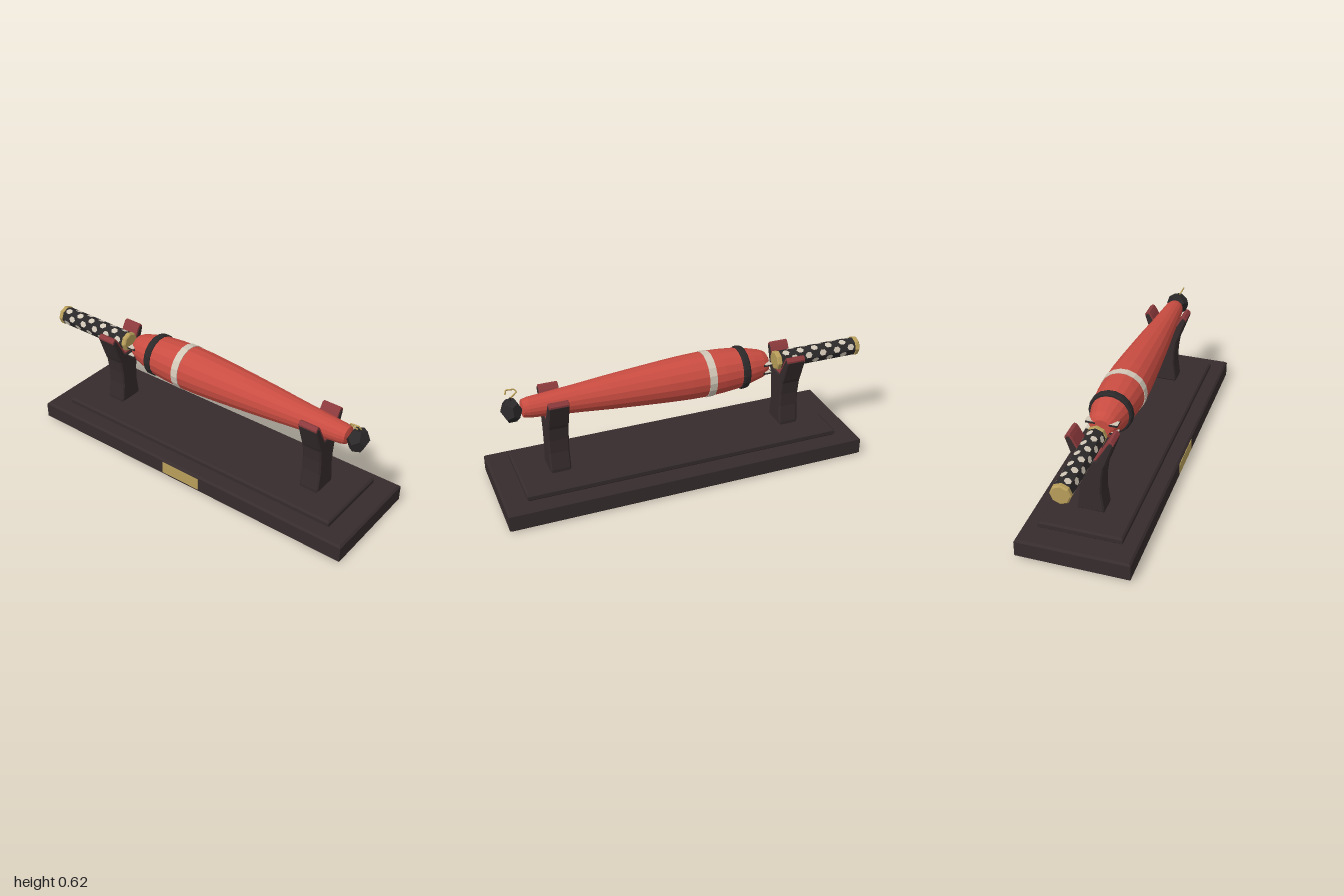
import * as THREE from 'three';

const mat = (name, color, extra = {}) =>
  Object.assign(new THREE.MeshStandardMaterial({ color, flatShading: true, ...extra }), { name });

export function createModel() {
  const root = new THREE.Group();
  root.name = 'displayStand';
  const wood = mat('dark wood', 0x362c2d);
  const black = mat('black', 0x2b2829);
  const red = mat('red lacquer', 0xc94c41);
  const maroon = mat('maroon padding', 0x8c3a3c);
  const cream = mat('cream', 0xd2c8b8, { side: THREE.DoubleSide });
  const gold = mat('gold', 0xb89e5a);

  const add = (name, geo, material, x = 0, y = 0, z = 0, parent = root) => {
    const m = new THREE.Mesh(geo, material);
    m.name = name;
    m.position.set(x, y, z);
    parent.add(m);
    return m;
  };

  // Polygon extruded to a total depth, with a chamfer kept inside that depth
  const chamfered = (points, depth, b) => {
    const shape = new THREE.Shape(points.map(p => new THREE.Vector2(...p)));
    const g = new THREE.ExtrudeGeometry(shape, {
      depth: depth - 2 * b, bevelThickness: b, bevelSize: b, bevelOffset: -b, bevelSegments: 1,
    });
    return g.translate(0, 0, b - depth / 2);
  };
  const slab = (w, h, d, b) => chamfered(
    [[-w / 2, -d / 2], [w / 2, -d / 2], [w / 2, d / 2], [-w / 2, d / 2]], h, b).rotateX(-Math.PI / 2);
  // Profile of [x, radius] pairs turned around the x axis
  const turned = (profile, sides) => new THREE.LatheGeometry(
    profile.map(([x, r]) => new THREE.Vector2(r, x)), sides).rotateZ(-Math.PI / 2);

  // Plinth and plaque
  add('lowerBase', slab(1.9, 0.1, 0.57, 0.01), wood, 0.045, 0.05, 0);
  add('upperBase', slab(1.67, 0.038, 0.42, 0.009), wood, 0.047, 0.119, 0);
  add('plaque', new THREE.BoxGeometry(0.23, 0.066, 0.008), gold, 0.045, 0.052, 0.284);

  // Forked uprights: outline as [z, y] for one half, then mirrored
  const half = [[0.066, 0.138], [0.067, 0.155], [0.055, 0.245], [0.057, 0.32], [0.067, 0.39],
    [0.076, 0.41], [0.118, 0.53], [0.112, 0.546], [0.096, 0.55], [0.082, 0.53], [0.032, 0.436]];
  const mirror = h => [...h, ...h.map(([z, y]) => [-z, y]).reverse()];
  const post = chamfered(mirror(half), 0.105, 0.007).rotateY(Math.PI / 2);
  const padHalf = [[0.032, 0.434], [0.09, 0.526], [0.117, 0.529], [0.118, 0.541], [0.105, 0.556],
    [0.093, 0.554], [0.08, 0.536], [0.03, 0.442]];
  const pad = chamfered(mirror(padHalf), 0.1, 0.002).rotateY(Math.PI / 2);
  for (const x of [-0.583, 0.673]) {
    add('forkedPost', post, wood, x);
    add('postPadding', pad, maroon, x);
  }

  // Tapered red scabbard
  add('scabbard', turned([[-0.465, 0], [-0.465, 0.045], [-0.455, 0.06], [-0.43, 0.074], [-0.37, 0.09],
    [-0.3, 0.105], [-0.2, 0.114], [-0.12, 0.117], [-0.02, 0.115], [0.1, 0.108], [0.25, 0.097],
    [0.4, 0.085], [0.55, 0.071], [0.7, 0.059], [0.8, 0.051], [0.828, 0.044], [0.838, 0]], 18), red, 0, 0.5);
  add('darkCollar', turned([[-0.335, 0.09], [-0.335, 0.106], [-0.327, 0.112], [-0.303, 0.113],
    [-0.295, 0.109], [-0.295, 0.09]], 18), black, 0, 0.5);
  add('creamBand', turned([[-0.145, 0.11], [-0.145, 0.119], [-0.105, 0.12], [-0.105, 0.11]], 18), cream, 0, 0.5);

  // Small slats on both sides of the scabbard mouth
  for (const side of [-1, 1]) for (const y of [0.477, 0.522]) {
    add('mouthSlat', new THREE.BoxGeometry(0.046, 0.008, 0.05), black, -0.442, y, side * 0.055);
    add('mouthSlatTop', new THREE.BoxGeometry(0.034, 0.004, 0.05), cream, -0.444, y + 0.006, side * 0.055);
  }

  // Wrapped grip with staggered pale patches
  const grip = new THREE.Group();
  grip.name = 'grip';
  grip.position.y = 0.5;
  root.add(grip);
  add('gripCore', turned([[-0.98, 0], [-0.98, 0.048], [-0.53, 0.048], [-0.53, 0]], 8), black, 0, 0, 0, grip);
  const patch = new THREE.CircleGeometry(0.018, 6).scale(1.15, 1, 1);
  for (let i = 0; i < 8; i++) {
    const row = new THREE.Group();
    row.name = 'patchRow';
    row.rotation.x = (i + 0.5) * Math.PI / 4;
    grip.add(row);
    for (let j = 0; j < 5; j++)
      add('gripPatch', patch, cream, -0.945 + j * 0.083 + (i % 2) * 0.0415, 0, 0.0455, row);
  }
  for (const [name, x] of [['pommel', -0.985], ['gripCollar', -0.528]])
    add(name, turned([[-0.015, 0], [-0.015, 0.044], [-0.009, 0.051], [0.009, 0.051],
      [0.015, 0.044], [0.015, 0]], 8), gold, x, 0, 0, grip);

  // Faceted end knob with a bent wire hook
  const knob = add('endKnob', new THREE.DodecahedronGeometry(0.063), black, 0.88, 0.5, 0);
  knob.scale.x = 0.85;
  knob.rotation.x = 0.3;
  add('hookRoot', new THREE.CylinderGeometry(0.005, 0.008, 0.02, 6), black, 0.88, 0.556, 0.006);
  const path = new THREE.CurvePath();
  const pts = [[0.876, 0.562, 0.01], [0.842, 0.583, 0.022], [0.852, 0.595, 0.03], [0.893, 0.598, 0.031],
    [0.9, 0.578, 0.02]].map(p => new THREE.Vector3(...p));
  for (let i = 1; i < pts.length; i++) path.add(new THREE.LineCurve3(pts[i - 1], pts[i]));
  add('wireHook', new THREE.TubeGeometry(path, 24, 0.004, 5), gold);

  return root;
}
